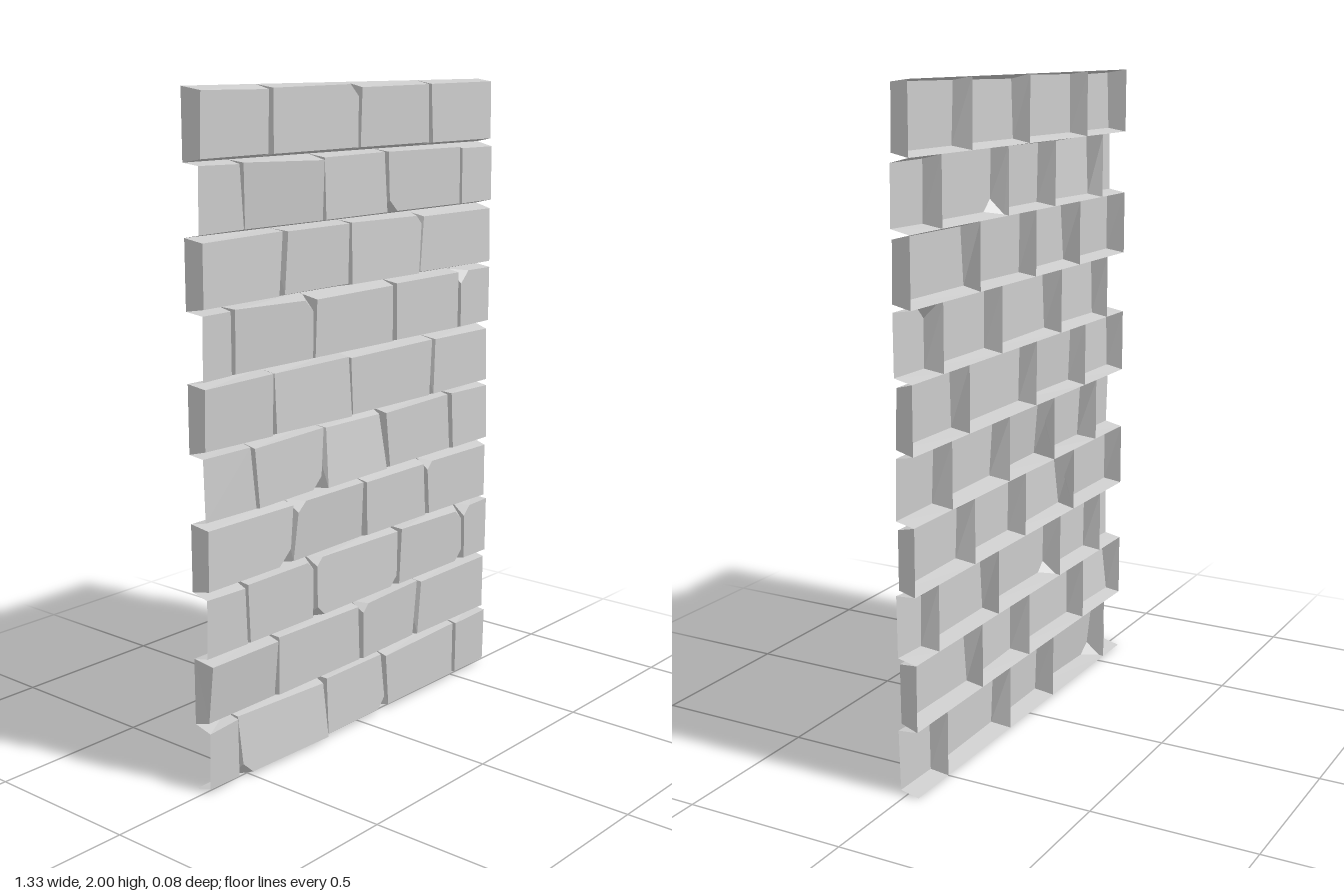
import * as THREE from 'three';

const HALF = 0.665, BACK = -0.04, ROW = 0.2;

// Courses from top to bottom: joints as [x, slant of the joint]
const COURSES = [
  [[-0.38, 0], [0, 0], [0.335, 0.004]],
  [[-0.495, 0.008], [-0.165, 0.003], [0.13, 0.005], [0.5, 0]],
  [[-0.335, -0.008], [-0.04, 0], [0.295, -0.009]],
  [[-0.54, 0.003], [-0.21, 0], [0.17, 0.002], [0.5, 0]],
  [[-0.38, 0], [-0.045, 0.003], [0.36, -0.005]],
  [[-0.465, 0.007], [-0.165, -0.008], [0.125, 0.007], [0.46, 0.004]],
  [[-0.305, -0.009], [0.025, 0.002], [0.335, 0.005]],
  [[-0.505, 0.005], [-0.21, 0], [0.195, -0.003], [0.54, 0.005]],
  [[-0.38, 0], [0, 0.004], [0.295, -0.008]],
  [[-0.545, 0.003], [-0.165, 0], [0.125, 0.008], [0.5, 0]],
];

// Chipped corners, 'course,brick': { corner: size }, corners 0 BL, 1 BR, 2 TR, 3 TL
const CHIPS = {
  '0,1': { 2: 0.035 }, '1,3': { 0: 0.035 }, '2,2': { 2: 0.025 },
  '3,1': { 2: 0.035 }, '3,4': { 3: 0.04 }, '5,1': { 1: 0.035 },
  '6,0': { 1: 0.045 }, '6,1': { 3: 0.03 }, '6,3': { 3: 0.025 },
  '7,1': { 2: 0.025 }, '7,2': { 0: 0.03, 1: 0.03, 3: 0.025 },
  '7,3': { 1: 0.035, 2: 0.03 }, '7,4': { 3: 0.03 },
  '8,2': { 3: 0.025 }, '9,1': { 0: 0.035 }, '9,2': { 1: 0.035 },
};

// Strongly tilted bricks: [rise to the right, rise to the top]
const TILTS = {
  '1,1': [0.008, 0.009], '3,1': [0.005, 0.004], '4,1': [0.006, -0.004],
  '5,2': [-0.004, -0.013], '6,1': [-0.004, 0.006], '8,0': [0.003, 0.012],
  '8,2': [-0.006, 0.003], '9,1': [0.007, -0.01], '2,2': [0.005, -0.003],
};

let seed = 7;
function rand(a, b) {
  seed = (seed * 16807) % 2147483647;
  return a + (b - a) * seed / 2147483647;
}

// Hollow brick, open at the back; joints l and r, cutL / cutR mark open wall ends
function brickGeometry(l, r, y0, y1, cutL, cutR, tilt, chips) {
  const V = (x, y, z) => new THREE.Vector3(x, y, z);
  const back = [V(l[0], y0, BACK), V(r[0], y0, BACK), V(r[0], y1, BACK), V(l[0], y1, BACK)];
  const cx = (l[0] + r[0]) / 2, cy = (y0 + y1) / 2;
  const z0 = 0.018 + Math.abs(tilt[0]) * 0.2;
  const front = back.map((p, i) => {
    const left = i === 0 || i === 3, top = i > 1;
    const joint = left ? l : r;
    const cut = left ? cutL : cutR;
    const inset = cut ? 0 : rand(0.006, 0.011);
    const x = p.x + (left ? inset : -inset) + (top ? -1 : 1) * joint[1];
    const y = p.y + (top ? -rand(0.004, 0.016) : rand(0.01, 0.014));
    const z = z0 + tilt[0] * (x - cx) / ((r[0] - l[0]) / 2) + tilt[1] * (y - cy) / (ROW / 2);
    return V(x, y, z);
  });

  // Each front corner becomes { a: towards previous, b: towards next, d: down the arris }
  const corners = front.map((p, i) => {
    const c = chips[i];
    if (!c) return { a: p, b: p };
    const towards = (q) => p.clone().add(q.clone().sub(p).setLength(c));
    return {
      a: towards(front[(i + 3) % 4]),
      b: towards(front[(i + 1) % 4]),
      d: p.clone().lerp(back[i], 0.75),
    };
  });

  const pos = [];
  const fan = (pts) => {
    for (let i = 1; i < pts.length - 1; i++) {
      for (const p of [pts[0], pts[i], pts[i + 1]]) pos.push(p.x, p.y, p.z);
    }
  };
  fan(corners.flatMap((c) => (c.d ? [c.a, c.b] : [c.a])));
  corners.forEach((c, i) => {
    if (c.d) fan([c.a, c.d, c.b]);
    if ((i === 1 && cutR) || (i === 3 && cutL)) return;
    const j = (i + 1) % 4, n = corners[j];
    fan([back[i], back[j], ...(n.d ? [n.d] : []), n.a, c.b, ...(c.d ? [c.d] : [])]);
  });

  const geo = new THREE.BufferGeometry();
  geo.setAttribute('position', new THREE.Float32BufferAttribute(pos, 3));
  geo.computeVertexNormals();
  return geo;
}

export function createModel() {
  const wall = new THREE.Group();
  wall.name = 'brickWall';
  const stone = new THREE.MeshStandardMaterial({
    color: 0xcccccc, flatShading: true, side: THREE.DoubleSide,
  });

  COURSES.forEach((joints, row) => {
    const course = new THREE.Group();
    course.name = `course${row + 1}`;
    const ends = [[-HALF, 0], ...joints, [HALF, 0]];
    const cutCourse = row % 2 === 1; // offset courses end in open half bricks
    const y1 = 2 - row * ROW;
    for (let i = 0; i < ends.length - 1; i++) {
      const key = `${row},${i}`;
      const tilt = TILTS[key] || [rand(-0.003, 0.003), rand(-0.003, 0.003)];
      const geo = brickGeometry(
        ends[i], ends[i + 1], y1 - ROW, y1,
        cutCourse && i === 0, cutCourse && i === ends.length - 2,
        tilt, CHIPS[key] || {},
      );
      const brick = new THREE.Mesh(geo, stone);
      brick.name = `brick${i + 1}`;
      course.add(brick);
    }
    wall.add(course);
  });
  return wall;
}
